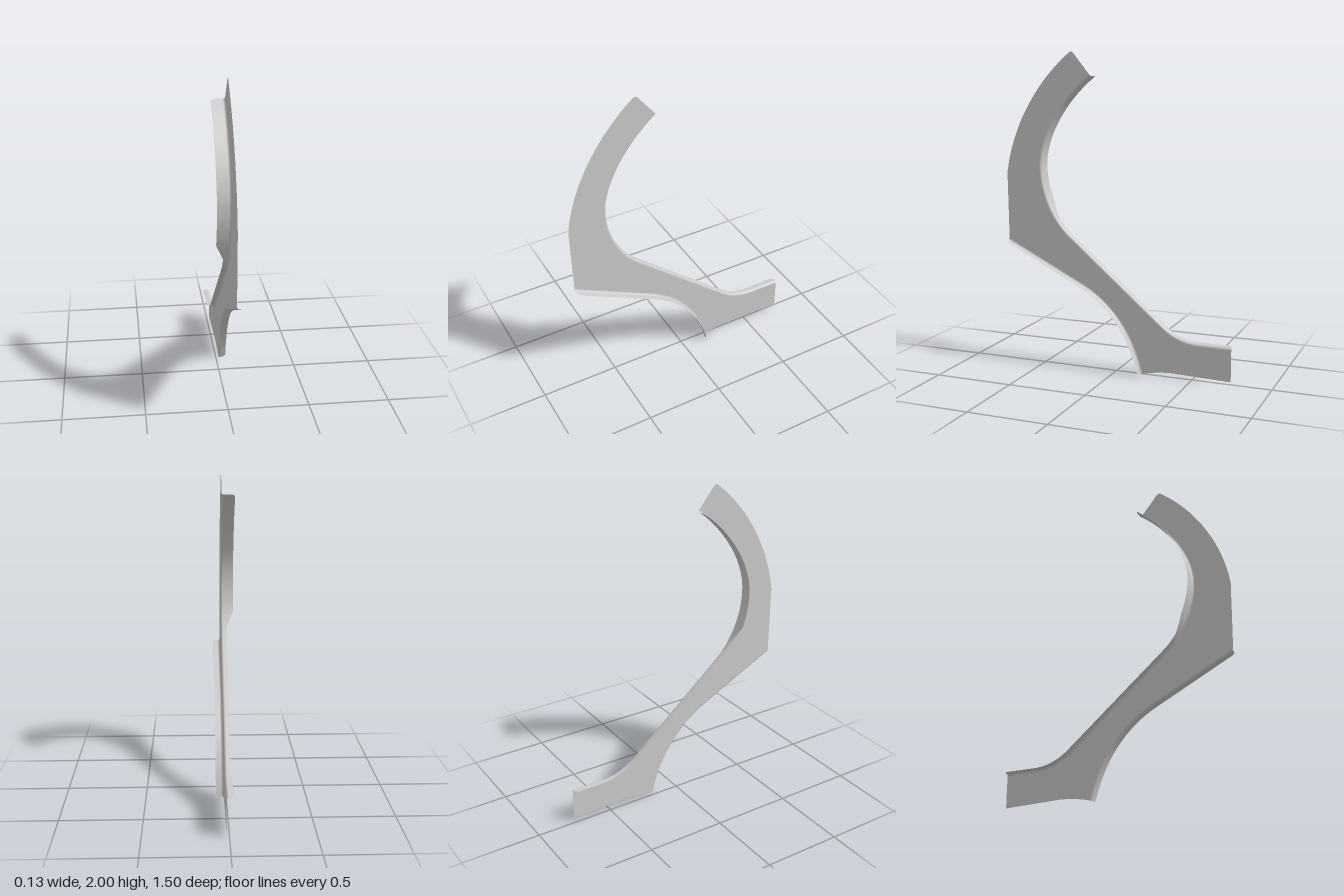
import * as THREE from 'three';

const X0 = 0.017;      // plane of the sheet
const BEND = 0.014;    // bend radius between sheet and flanges

// Unit normals pointing into the sheet along a list of (z, y) points
function inwardNormals(pts) {
  return pts.map((p, i) => {
    const a = pts[Math.max(i - 1, 0)], b = pts[Math.min(i + 1, pts.length - 1)];
    const t = b.clone().sub(a).normalize();
    return new THREE.Vector2(-t.y, t.x);
  });
}

// Folded lip: rounded bend out of the sheet, then straight out to the given x
function flange(name, pts, normals, edgeX, material) {
  const pos = [], index = [], bendSteps = 5, rows = bendSteps + 2;
  let length = 0;
  const run = pts.map((p, i) => (length += i ? p.distanceTo(pts[i - 1]) : 0));
  pts.forEach((p, i) => {
    const n = normals[i];
    const side = Math.sign(edgeX(p) - X0);
    // rounded free corners at both ends
    const R = 0.018, d = Math.max(0, R - Math.min(run[i], length - run[i]));
    const tip = edgeX(p) - side * (R - Math.sqrt(R * R - d * d));
    for (let k = 0; k < rows; k++) {
      const a = Math.min(k / bendSteps, 1) * Math.PI / 2;
      const inset = BEND * (1 - Math.sin(a));
      const x = k > bendSteps ? tip : X0 + side * BEND * (1 - Math.cos(a));
      pos.push(x, p.y + n.y * inset, p.x + n.x * inset);
    }
  });
  for (let i = 0; i < pts.length - 1; i++) {
    for (let k = 0; k < rows - 1; k++) {
      const a = i * rows + k, b = a + rows;
      index.push(a, b, a + 1, b, b + 1, a + 1);
    }
  }
  const geo = new THREE.BufferGeometry();
  geo.setAttribute('position', new THREE.Float32BufferAttribute(pos, 3));
  geo.setIndex(index);
  geo.computeVertexNormals();
  const mesh = new THREE.Mesh(geo, material);
  mesh.name = name;
  return mesh;
}

export function createModel() {
  const group = new THREE.Group();
  group.name = 'curvedBracketPanel';
  const material = new THREE.MeshStandardMaterial({ color: 0xcccccc, side: THREE.DoubleSide });

  // Edge curves in (z, y)
  const upper = new THREE.Path()
    .moveTo(0.167, 1.85)
    .bezierCurveTo(0.33, 1.73, 0.506, 1.5, 0.506, 1.287)
    .bezierCurveTo(0.506, 1.12, 0.43, 0.96, 0.326, 0.864)
    .lineTo(-0.3, 0.334)
    .quadraticCurveTo(-0.41, 0.235, -0.55, 0.235)
    .lineTo(-0.75, 0.235);
  const lower = new THREE.Path()
    .moveTo(-0.167, 0)
    .bezierCurveTo(-0.11, 0.25, 0.03, 0.43, 0.22, 0.53)
    .lineTo(0.74, 0.79);
  const upperPts = upper.getSpacedPoints(160), lowerPts = lower.getSpacedPoints(90);
  const upperN = inwardNormals(upperPts), lowerN = inwardNormals(lowerPts);
  const inset = (pts, ns) => pts.map((p, i) => p.clone().addScaledVector(ns[i], BEND));

  // Remaining plain edges: tail underside and outer back
  const tail = new THREE.Path().moveTo(-0.75, 0.021).lineTo(-0.373, 0.032)
    .quadraticCurveTo(-0.27, 0.03, -0.167, 0);
  const outer = new THREE.Path().moveTo(0.742, 0.79).lineTo(0.75, 1.235)
    .bezierCurveTo(0.71, 1.53, 0.54, 1.81, 0.315, 1.99)
    .quadraticCurveTo(0.3, 2.007, 0.282, 1.992);

  // Flat sheet
  const shape = new THREE.Shape([
    ...inset(upperPts, upperN), ...tail.getPoints(12),
    ...inset(lowerPts, lowerN), ...outer.getPoints(32),
  ]);
  const sheet = new THREE.Mesh(
    new THREE.ShapeGeometry(shape).rotateY(-Math.PI / 2).translate(X0, 0, 0), material);
  sheet.name = 'sheet';
  group.add(sheet);

  // Upper lip: deep along the arch, shallow on the slope, slightly deeper at the tail
  const upperX = (p) => {
    const arch = THREE.MathUtils.clamp((p.y - 0.95) / 0.11, 0, 1);
    const end = THREE.MathUtils.clamp((-0.43 - p.x) / 0.17, 0, 1);
    return -0.02 - 0.048 * arch - 0.008 * end;
  };
  group.add(flange('upperFlange', upperPts, upperN, upperX, material));

  // Lower lip on the opposite side
  group.add(flange('lowerFlange', lowerPts, lowerN, () => 0.064, material));
  return group;
}
